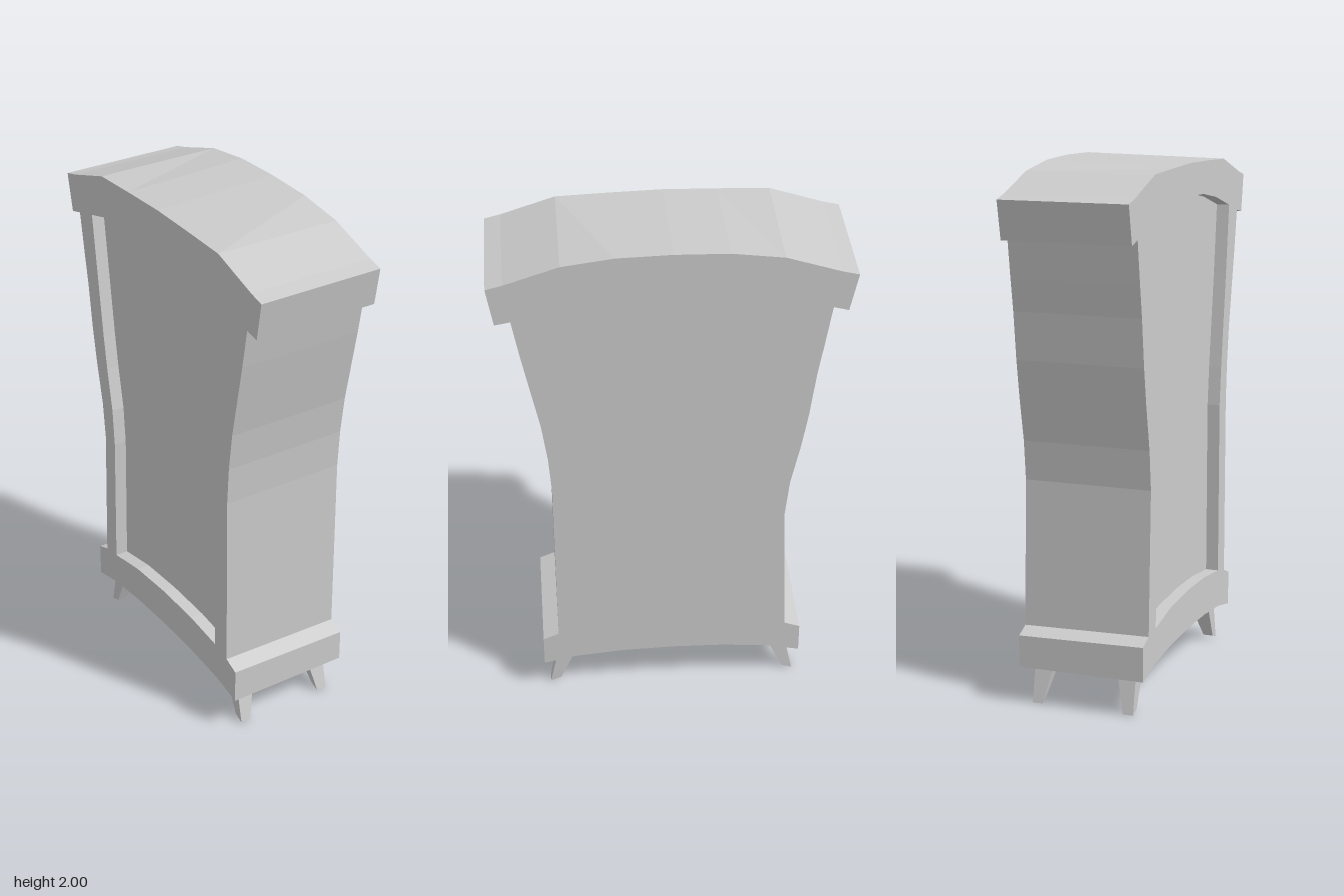
import * as THREE from 'three';

const X = 0.245;        // half thickness of the cabinet
const RECESS = 0.05;    // depth of the panel set into the -x side

// Outlines as [z, y], counter-clockwise
const BODY = [
  [-0.505, 0.14], [-0.38, 0.168], [-0.2, 0.185], [0, 0.19], [0.2, 0.185], [0.38, 0.168], [0.51, 0.14],
  [0.51, 0.265], [0.45, 0.29], [0.45, 1.0], [0.46, 1.15], [0.48, 1.3], [0.51, 1.45], [0.54, 1.6], [0.568, 1.755],
  [0.625, 1.745], [0.65, 1.89], [0.59, 1.905], [0.39, 1.97], [0.2, 1.995], [0, 2.0], [-0.2, 1.995],
  [-0.39, 1.97], [-0.59, 1.905], [-0.65, 1.89], [-0.62, 1.745],
  [-0.565, 1.76], [-0.54, 1.6], [-0.52, 1.48], [-0.498, 1.3], [-0.475, 1.16], [-0.44, 0.99], [-0.425, 0.84],
  [-0.445, 0.285], [-0.505, 0.262],
];
const PANEL = [
  [-0.37, 0.305], [-0.2, 0.335], [0, 0.345], [0.2, 0.34], [0.37, 0.32],
  [0.37, 1.0], [0.385, 1.15], [0.405, 1.3], [0.435, 1.52], [0.465, 1.785],
  [0.3, 1.83], [0.15, 1.855], [0, 1.86], [-0.15, 1.855], [-0.3, 1.83], [-0.473, 1.785],
  [-0.445, 1.55], [-0.415, 1.3], [-0.395, 1.16], [-0.365, 0.99], [-0.355, 0.84],
];

// The -x outline has a slightly lower crown and a slightly higher plinth ledge
const BODY_LOW = BODY.map(([z, y]) =>
  [z, y > 1.98 ? y - 0.018 : y > 0.25 && y < 0.3 ? y + 0.01 : y]);

const material = new THREE.MeshStandardMaterial({ color: 0xcccccc, flatShading: true });
const vectors = (loop) => loop.map(([z, y]) => new THREE.Vector2(z, y));

function addMesh(parent, name, geometry) {
  const mesh = new THREE.Mesh(geometry, material);
  mesh.name = name;
  parent.add(mesh);
  return mesh;
}

// Flat face in the plane x, optionally with a hole; faces -x unless flipped
function face(loop, x, { hole, flip } = {}) {
  const shape = new THREE.Shape(vectors(loop));
  if (hole) shape.holes.push(new THREE.Path(vectors(hole)));
  const geo = new THREE.ShapeGeometry(shape);
  const p = geo.attributes.position;
  for (let i = 0; i < p.count; i++) p.setXYZ(i, x, p.getY(i), p.getX(i));
  if (flip) geo.index.array.reverse();
  geo.computeVertexNormals();
  return geo;
}

// Closed wall joining two matching outlines
function wall(loopA, xa, loopB, xb) {
  const pos = [];
  loopA.forEach((p, i) => {
    const j = (i + 1) % loopA.length;
    const at = (x, [z, y]) => [x, y, z];
    const a0 = at(xa, p), a1 = at(xa, loopA[j]);
    const b0 = at(xb, loopB[i]), b1 = at(xb, loopB[j]);
    pos.push(...a0, ...b0, ...b1, ...a0, ...b1, ...a1);
  });
  const geo = new THREE.BufferGeometry();
  geo.setAttribute('position', new THREE.Float32BufferAttribute(pos, 3));
  geo.computeVertexNormals();
  return geo;
}

// Splayed, tapered foot: a box whose upper and lower ends are reshaped
function legGeometry(sx, sz) {
  const geo = new THREE.BoxGeometry(1, 1, 1);
  const p = geo.attributes.position;
  for (let i = 0; i < p.count; i++) {
    const top = p.getY(i) > 0;
    const outX = p.getX(i) * sx > 0, outZ = p.getZ(i) * sz > 0;
    const x = outX ? 0.2 : top ? 0.12 : 0.16;
    const z = top ? (outZ ? 0.45 : 0.375) : (outZ ? 0.488 : 0.447);
    const y = top ? 0.175 : outZ ? 0 : 0.015;
    p.setXYZ(i, sx * x, y, sz * z);
  }
  geo.computeVertexNormals();
  return geo;
}

export function createModel() {
  const group = new THREE.Group();
  group.name = 'cabinet';

  // Cabinet shell: curved sides, crown and plinth in one outline
  const body = new THREE.Group();
  body.name = 'cabinetBody';
  addMesh(body, 'outerWalls', wall(BODY_LOW, -X, BODY, X));
  addMesh(body, 'plainSide', face(BODY, X, { flip: true }));
  addMesh(body, 'panelFrame', face(BODY_LOW, -X, { hole: PANEL }));
  group.add(body);

  // Panel set back inside the frame
  const panel = new THREE.Group();
  panel.name = 'recessedPanel';
  addMesh(panel, 'recessWalls', wall(PANEL, -X + RECESS, PANEL, -X));
  addMesh(panel, 'panel', face(PANEL, -X + RECESS));
  group.add(panel);

  // Four feet
  for (const sx of [1, -1]) for (const sz of [1, -1]) {
    addMesh(group, `${sz > 0 ? 'front' : 'back'}${sx > 0 ? 'Left' : 'Right'}Leg`, legGeometry(sx, sz));
  }
  return group;
}
